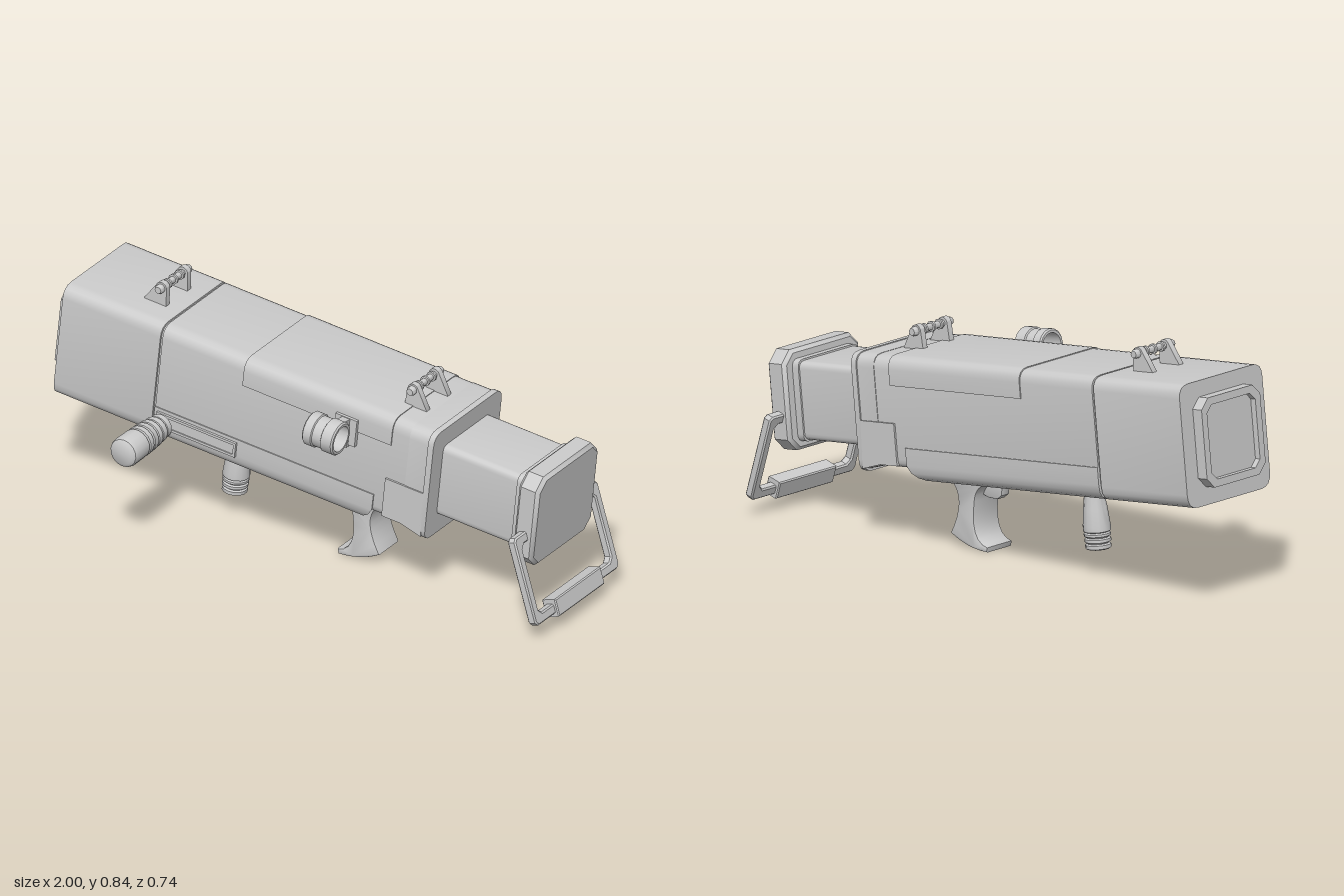
import * as THREE from 'three';
import { toCreasedNormals } from 'three/addons/utils/BufferGeometryUtils.js';

const material = new THREE.MeshStandardMaterial({ color: 0xcccccc });
const twoSided = new THREE.MeshStandardMaterial({ color: 0xcccccc, side: THREE.DoubleSide });

function add(parent, name, geometry, x = 0, y = 0, z = 0, mat = material) {
  const mesh = new THREE.Mesh(toCreasedNormals(geometry, 0.6), mat);
  mesh.name = name;
  mesh.position.set(x, y, z);
  parent.add(mesh);
  return mesh;
}

const polygon = (pts) => new THREE.Shape(pts.map(([x, y]) => new THREE.Vector2(x, y)));

// Rectangle of half-width w from y0 to y1; rb and rt are bottom and top corner cuts
function section(w, y0, y1, rb, rt, rounded = true) {
  const s = new THREE.Shape();
  const corner = (cx, cy, x, y) => (rounded ? s.quadraticCurveTo(cx, cy, x, y) : s.lineTo(x, y));
  s.moveTo(-w + rb, y0);
  s.lineTo(w - rb, y0);
  if (rb) corner(w, y0, w, y0 + rb);
  s.lineTo(w, y1 - rt);
  if (rt) corner(w, y1, w - rt, y1);
  s.lineTo(-w + rt, y1);
  if (rt) corner(-w, y1, -w, y1 - rt);
  s.lineTo(-w, y0 + rb);
  if (rb) corner(-w, y0, -w + rb, y0);
  return s;
}

// Sweep a cross-section along x from x0 to x1
function prism(shape, x0, x1, bevel = 0) {
  const g = new THREE.ExtrudeGeometry(shape, {
    depth: x1 - x0 - 2 * bevel, curveSegments: 4, bevelEnabled: bevel > 0,
    bevelSize: bevel, bevelOffset: -bevel, bevelThickness: bevel, bevelSegments: 1,
  });
  return g.rotateY(Math.PI / 2).translate(x0 + bevel, 0, 0);
}

// Side outline in x, y given thickness across z
function slab(shape, t, bevel = 0) {
  return new THREE.ExtrudeGeometry(shape, {
    depth: t - 2 * bevel, curveSegments: 6, bevelEnabled: bevel > 0,
    bevelSize: bevel, bevelOffset: -bevel, bevelThickness: bevel, bevelSegments: 2,
  }).translate(0, 0, -t / 2 + bevel);
}

function moveVertices(g, rule) {
  const p = g.attributes.position, v = new THREE.Vector3();
  for (let i = 0; i < p.count; i++) {
    rule(v.fromBufferAttribute(p, i));
    p.setXYZ(i, v.x, v.y, v.z);
  }
  return g;
}

const lathe = (pts, n) => new THREE.LatheGeometry(pts.map(([r, y]) => new THREE.Vector2(r, y)), n);

// Profile of stacked rings with narrow grooves between them
function ribs(list, groove) {
  return list.flatMap(([r, a, b]) => [[r - groove, a], [r, a + 0.004], [r, b - 0.004], [r - groove, b]]);
}

function buildBody(g) {
  add(g, 'rearShell', prism(section(0.206, -0.232, 0.191, 0.05, 0.045), -0.949, -0.561));
  add(g, 'seamCore', prism(section(0.199, -0.222, 0.184, 0.05, 0.045), -0.6, -0.5));
  add(g, 'frontShell', prism(section(0.205, -0.188, 0.191, 0.03, 0.045), -0.553, 0.5));

  // Lower pan with its front end curving upward
  const pan = moveVertices(prism(section(0.209, -0.232, -0.116, 0.055, 0), -0.553, 0.315), (v) => {
    const t = THREE.MathUtils.clamp((-0.17 - v.y) / 0.062, 0, 1);
    if (v.x > 0) v.x -= 0.065 * t * t;
  });
  add(g, 'lowerPan', pan);

  add(g, 'topCover', prism(section(0.209, 0.094, 0.194, 0, 0.046), -0.228, 0.362));

  // Front collar flaring downward
  const collar = moveVertices(prism(section(0.207, -0.188, 0.192, 0.035, 0.045), 0.43, 0.523), (v) => {
    if (v.x > 0.5 && v.y < 0) v.y *= 1.11;
  });
  add(g, 'collar', collar);
  add(g, 'collarLip', prism(section(0.212, -0.213, 0.195, 0.04, 0.045), 0.505, 0.527));
  for (const side of [-1, 1]) {
    add(g, 'collarSidePlate', slab(polygon([[0.355, -0.18], [0.43, -0.18], [0.512, -0.2],
      [0.505, -0.035], [0.355, -0.035]]), 0.014), 0, 0, side * 0.205);
  }

  // Rear frame with a sunken panel
  const frame = section(0.146, -0.17, 0.136, 0.035, 0.035, false);
  frame.holes.push(section(0.12, -0.144, 0.11, 0.025, 0.025, false));
  add(g, 'rearFrame', prism(frame, -0.989, -0.94));
  add(g, 'rearPanel', prism(section(0.122, -0.146, 0.112, 0, 0), -0.968, -0.94));
}

function buildMuzzle(g) {
  add(g, 'innerTube', prism(section(0.145, -0.142, 0.127, 0.025, 0.025), 0.45, 0.87));
  add(g, 'tubeStep', prism(section(0.151, -0.148, 0.133, 0.028, 0.028), 0.825, 0.86));
  add(g, 'endCap', prism(section(0.19, -0.177, 0.166, 0.042, 0.042, false), 0.852, 0.933, 0.012));
}

function buildGrips(g) {
  // Rail plate and ribbed side handle
  const rail = polygon([[-0.54, -0.182], [-0.225, -0.182], [-0.225, -0.128], [-0.54, -0.128]]);
  rail.holes.push(polygon([[-0.53, -0.173], [-0.234, -0.173], [-0.234, -0.137], [-0.53, -0.137]]));
  add(g, 'sideRailFrame', slab(rail, 0.02), 0, 0, 0.208);
  add(g, 'sideRail', new THREE.BoxGeometry(0.3, 0.04, 0.016), -0.38, -0.155, 0.206);

  const side = lathe([[0.022, 0.18], [0.022, 0.233],
    ...ribs([[0.043, 0.233, 0.263], [0.047, 0.265, 0.295], [0.05, 0.297, 0.325],
      [0.052, 0.327, 0.355], [0.053, 0.357, 0.385]], 0.008),
    [0.053, 0.39], [0.054, 0.46], [0.05, 0.472], [0.038, 0.48], [0, 0.48]], 16);
  add(g, 'sideHandle', side.rotateX(Math.PI / 2), -0.506, -0.16, 0);

  // Foregrip hanging below the body
  add(g, 'foregrip', lathe([[0, -0.45], [0.036, -0.45],
    ...ribs([[0.044, -0.45, -0.43], [0.045, -0.428, -0.41], [0.046, -0.408, -0.392]], 0.007),
    [0.047, -0.388], [0.047, -0.37], [0.041, -0.31], [0.034, -0.26], [0.032, -0.22]], 14), -0.334, 0, 0);
}

function buildSightMount(g, x, dir) {
  const mount = new THREE.Group();
  mount.name = 'sightMount';
  mount.position.set(x, 0.19, 0.01);
  mount.scale.x = 1;
  const lug = new THREE.Shape();
  // Lug with a straight edge on one side, a slope on the other and a rounded top
  lug.moveTo(-0.026, -0.01);
  lug.lineTo(0.06, -0.01);
  lug.lineTo(0.06, 0.004);
  lug.lineTo(0.02, 0.07);
  lug.absarc(0, 0.063, 0.021, 0.4, Math.PI, false);
  lug.lineTo(-0.026, 0);
  for (const z of [-0.066, 0.066]) {
    const plate = add(mount, 'mountLug', slab(lug, 0.022), 0, 0, z);
    if (dir < 0) plate.rotation.y = Math.PI;
  }
  const pin = [[0, -0.098], [0.012, -0.098], [0.016, -0.09], [0.016, -0.078], [0.012, -0.074]];
  for (const y of [-0.038, 0, 0.038]) {
    pin.push([0.012, y - 0.005], [0.018, y - 0.004], [0.018, y + 0.004], [0.012, y + 0.005]);
  }
  pin.push([0.012, 0.074], [0.016, 0.078], [0.016, 0.09], [0.012, 0.098], [0, 0.098]);
  add(mount, 'mountPin', lathe(pin, 12).rotateX(Math.PI / 2), 0, 0.063, 0);
  g.add(mount);
}

function buildSightRing(g) {
  const ring = lathe([[0.046, -0.06], [0.055, -0.06], [0.06, -0.055], [0.06, -0.025], [0.055, -0.022],
    [0.055, 0.012], [0.06, 0.015], [0.06, 0.055], [0.055, 0.06], [0.046, 0.06], [0.046, -0.06]], 16);
  add(g, 'sightRing', ring.rotateZ(-Math.PI / 2), 0.187, 0.135, 0.345, twoSided);
  // Bracket tapering from the body out to the ring
  const arm = polygon([[-0.2, 0.035], [-0.2, 0.135], [-0.292, 0.148], [-0.292, 0.115]]);
  add(g, 'sightBracket', prism(arm, 0.172, 0.202), 0, 0, 0, twoSided);
  add(g, 'sightBasePlate', new THREE.BoxGeometry(0.085, 0.1, 0.018), 0.187, 0.09, 0.211);
  add(g, 'sightScrew', new THREE.BoxGeometry(0.035, 0.025, 0.02), 0.187, 0.045, 0.22);
}

function buildPistolGrip(root) {
  const s = new THREE.Shape();
  s.moveTo(-0.07, 0.27);
  s.quadraticCurveTo(-0.03, 0.24, 0.06, 0.238);
  s.quadraticCurveTo(0.12, 0.225, 0.125, 0.17);
  s.quadraticCurveTo(0.145, 0.03, 0.066, 0.02);
  s.lineTo(0.07, 0.002);
  s.quadraticCurveTo(0.16, 0.0, 0.232, 0.042);
  s.quadraticCurveTo(0.18, 0.14, 0.205, 0.19);
  s.quadraticCurveTo(0.22, 0.225, 0.26, 0.24);
  s.lineTo(0.26, 0.29);
  s.lineTo(-0.07, 0.29);
  add(root, 'pistolGrip', slab(s, 0.125, 0.006), 0, 0, -0.107);
  const t = polygon([[0.035, 0.245], [0.042, 0.195], [0.06, 0.18], [0.1, 0.178], [0.14, 0.19], [0.14, 0.245]]);
  add(root, 'trigger', slab(t, 0.04, 0.004), 0, 0, -0.107);
}

function buildCarryHandle(root) {
  const handle = new THREE.Group();
  handle.name = 'carryHandle';
  handle.position.set(0.88, 0.35, -0.107);
  handle.rotation.z = 0.288;
  // Open loop hinged on both sides of the end cap
  const half = [[0.17, -0.018], [0.21, -0.018], [0.226, -0.034], [0.226, -0.25], [0.21, -0.266]];
  const outer = [[0.245, -0.3], [0.259, -0.286], [0.259, 0.004], [0.247, 0.016], [0.17, 0.016]];
  const right = [...half, [0, -0.266]];
  const flip = (p) => p.map(([x, y]) => [-x, y]).reverse();
  const loop = polygon([...right, ...flip(half), ...flip(outer), ...outer]);
  add(handle, 'handleLoop', prism(loop, -0.016, 0.016, 0.005));
  add(handle, 'handleGrip', prism(section(0.142, -0.312, -0.25, 0, 0), -0.028, 0.028, 0.004));
  root.add(handle);
}

export function createModel() {
  const root = new THREE.Group();
  root.name = 'launcher';

  // Everything on the barrel axis shares one tilted frame
  const barrel = new THREE.Group();
  barrel.name = 'barrelAssembly';
  barrel.position.set(0, 0.5, -0.11);
  barrel.rotation.z = -0.1057;
  root.add(barrel);

  buildBody(barrel);
  buildMuzzle(barrel);
  buildGrips(barrel);
  buildSightMount(barrel, -0.645, -1);
  buildSightMount(barrel, 0.355, 1);
  buildSightRing(barrel);
  buildPistolGrip(root);
  buildCarryHandle(root);
  return root;
}
